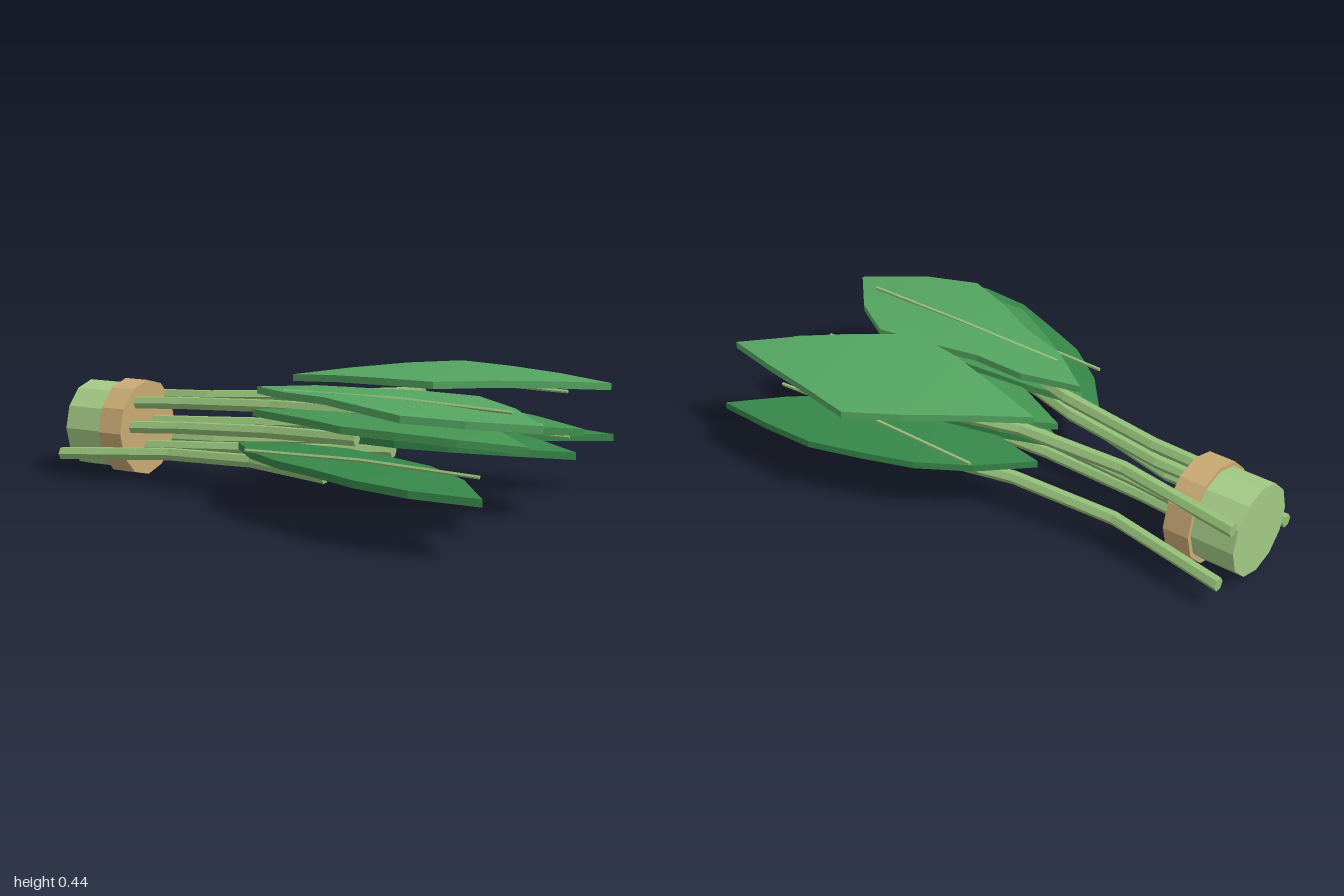
import * as THREE from 'three';

const mat = (color) => new THREE.MeshStandardMaterial({ color, flatShading: true, side: THREE.DoubleSide });
const STEM = mat(0x94bf78), BASE = mat(0xa3ca85), BAND = mat(0xc9aa74);
const BLADES = [mat(0x37874a), mat(0x459653), mat(0x54a561)]; // bottom, middle and top row
const CENTRE_Z = -0.05;
const { lerp } = THREE.MathUtils;

function add(parent, name, geometry, material) {
  const mesh = new THREE.Mesh(geometry, material);
  mesh.name = name;
  parent.add(mesh);
}

// Rod along x, bent by moving each ring of a cylinder to its station
function rod(xs, ys, zs, radius, sides) {
  const n = xs.length - 1;
  const g = new THREE.CylinderGeometry(radius, radius, n, sides, n);
  g.rotateZ(Math.PI / 2);
  const p = g.attributes.position;
  for (let i = 0; i < p.count; i++) {
    const k = Math.round(p.getX(i) + n / 2);
    p.setXYZ(i, xs[k], p.getY(i) + ys[k], p.getZ(i) + zs[k]);
  }
  g.computeVertexNormals();
  return g;
}

// Thin arched blade: half widths set off square to a straight midline
function blade(base, tip, halfWidths, [y0, y1, y2]) {
  const thickness = 0.026;
  const widths = [0, ...halfWidths, 0], n = widths.length - 1;
  const start = new THREE.Vector2(...base), end = new THREE.Vector2(...tip);
  const dir = end.clone().sub(start).normalize();
  const pos = [], index = [];
  widths.forEach((w, i) => {
    const t = i / n;
    const mid = start.clone().lerp(end, t);
    // parabola through the base, middle and tip heights
    const y = y0 * (1 - t) * (1 - 2 * t) + y1 * 4 * t * (1 - t) + y2 * t * (2 * t - 1);
    for (const [side, up] of [[-1, 1], [1, 1], [1, -1], [-1, -1]]) {
      pos.push(mid.x - dir.y * w * side, y + up * thickness / 2, mid.y + dir.x * w * side);
    }
  });
  for (let i = 0; i < n; i++) {
    for (let j = 0; j < 4; j++) {
      const a = i * 4 + j, c = i * 4 + (j + 1) % 4;
      index.push(a, c, a + 4, c, c + 4, a + 4);
    }
  }
  const g = new THREE.BufferGeometry();
  g.setAttribute('position', new THREE.Float32BufferAttribute(pos, 3));
  g.setIndex(index);
  g.computeVertexNormals();
  return g;
}

// One leaf: a stalk pinched at the band and fanning out, a vein and a blade
function leaf(name, row, [zCut, zEnd], baseZ, tip, halfWidths, heights) {
  const group = new THREE.Group();
  group.name = name;

  const y = 0.1 + 0.09 * row;
  const zPinch = lerp(CENTRE_Z, zCut, 0.75);
  const zs = [zCut, zPinch, lerp(zPinch, zEnd, 0.25), zEnd];
  add(group, 'stalk', rod([-0.99, -0.53, -0.13, 0.29], [y, y + 0.03, y + 0.055, y + 0.08], zs, 0.025, 6), STEM);

  const yVein = 0.24 + 0.085 * row, drift = 0.01 * Math.sign(zEnd);
  add(group, 'vein', rod([-0.03, 0.42, 0.855], [yVein, yVein + 0.008, yVein - 0.003],
    [zEnd - drift, zEnd - drift, zEnd + drift / 2], 0.007, 5), STEM);

  add(group, 'blade', blade([-0.19, baseZ], tip, halfWidths, heights), BLADES[row]);
  return group;
}

export function createModel() {
  const model = new THREE.Group();

  // Root end and the band tied round it
  const zs = [CENTRE_Z, CENTRE_Z], ys = [0.19, 0.19];
  add(model, 'rootEnd', rod([-1, -0.77], ys, zs, 0.168, 12), BASE);
  add(model, 'tieBand', rod([-0.835, -0.735], ys, zs, 0.185, 12), BAND);

  // Three leaves in the bottom row, two in the middle, two on top
  model.add(
    leaf('bottomFrontLeaf', 0, [0.16, 0.4], 0.17, [0.95, 0.6], [0.11, 0.165, 0.17, 0.175, 0.125], [0.205, 0.222, 0.2]),
    leaf('bottomMiddleLeaf', 0, [-0.05, -0.12], -0.07, [0.99, -0.11], [0.1, 0.15, 0.205, 0.19, 0.12], [0.21, 0.255, 0.23]),
    leaf('bottomBackLeaf', 0, [-0.28, -0.4], -0.21, [0.95, -0.61], [0.11, 0.165, 0.17, 0.16, 0.09], [0.205, 0.227, 0.21]),
    leaf('middleFrontLeaf', 1, [0.07, 0.17], 0.07, [0.98, 0.3], [0.1, 0.17, 0.23, 0.19, 0.12], [0.31, 0.347, 0.315]),
    leaf('middleBackLeaf', 1, [-0.11, -0.13], -0.09, [0.98, -0.21], [0.11, 0.2, 0.26, 0.2, 0.11], [0.3, 0.322, 0.295]),
    leaf('topFrontLeaf', 2, [0.03, 0.13], 0.04, [0.99, 0.2], [0.1, 0.13, 0.2, 0.25, 0.16], [0.39, 0.405, 0.37]),
    leaf('topBackLeaf', 2, [-0.21, -0.37], -0.23, [0.97, -0.51], [0.105, 0.21, 0.285, 0.195, 0.105], [0.4, 0.437, 0.415]),
  );
  return model;
}
